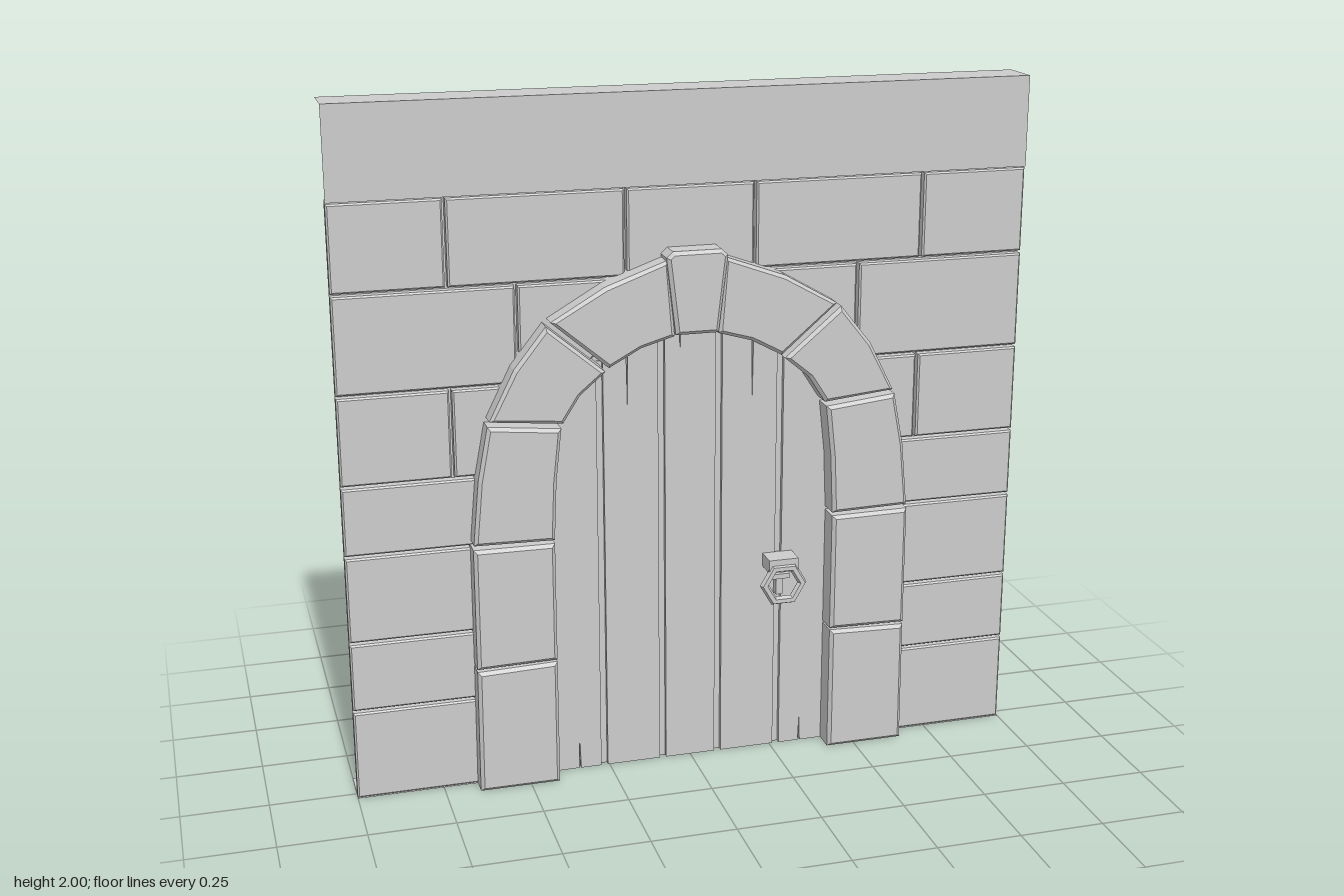
import * as THREE from 'three';

const stone = new THREE.MeshStandardMaterial({ color: 0xcccccc, side: THREE.DoubleSide });
stone.name = 'plain grey';

export function createModel() {
  const model = new THREE.Group();
  model.name = 'stoneDoorway';

  const add = (name, geometry, x = 0, y = 0, z = 0) => {
    const mesh = new THREE.Mesh(geometry, stone);
    mesh.name = name;
    mesh.position.set(x, y, z);
    model.add(mesh);
    return mesh;
  };
  const shapeOf = (pts) => new THREE.Shape(pts.map(([x, y]) => new THREE.Vector2(x, y)));
  const mirror = (pts, s) => pts.map(([x, y]) => [x * s, y]);

  // Chamfered front with straight sides and an open back, from z0 to z1
  const shell = (name, pts, z0, z1, bevel) => {
    const geo = new THREE.ExtrudeGeometry(shapeOf(pts), {
      depth: z1 - z0 - bevel, bevelThickness: bevel, bevelSize: bevel,
      bevelOffset: -bevel, bevelSegments: 1,
    });
    const p = geo.attributes.position;
    const kept = [];
    for (let i = 0; i < p.count; i += 3) {
      if (Math.max(p.getZ(i), p.getZ(i + 1), p.getZ(i + 2)) < 1e-6) continue;
      for (let k = i; k < i + 3; k++) kept.push(p.getX(k), p.getY(k), p.getZ(k));
    }
    const open = new THREE.BufferGeometry();
    open.setAttribute('position', new THREE.Float32BufferAttribute(kept, 3));
    open.computeVertexNormals();
    return add(name, open, 0, 0, z0);
  };
  const plate = (name, x0, x1, y) => {
    const geo = new THREE.PlaneGeometry(x1 - x0, 0.13).rotateX(-Math.PI / 2);
    add(name, geo, (x0 + x1) / 2, y, -0.035);
  };

  // Mortar sheet behind the blocks, with a pointed door opening
  add('mortarSheet', new THREE.ShapeGeometry(shapeOf([
    [-1, 0.24], [-0.5, 0.24], [-0.5, 1.11], [0, 1.39], [0.5, 1.11], [0.5, 0.24],
    [1, 0.24], [1, 1.745], [-1, 1.745],
  ])));

  // Lintel band with its top ledge, and the two floor ledges
  add('lintelBand', new THREE.PlaneGeometry(2, 0.26), 0, 1.87, 0.03);
  plate('topLedge', -1, 1, 2);
  plate('floorLedge', 0.5, 1, 0);
  plate('floorLedge', -1, -0.5, 0);

  // Wall courses: bottom, top, then the x limits of each block on one side
  const g = 0.004;
  const block = (x0, x1, y0, y1) => shell('wallBlock', [
    [x0, y0], [x1, y0], [x1, y1], [x0, y1],
  ], 0, 0.028, 0.005);
  const courses = [
    [0, 0.27, [0.5, 1]],
    [0.27, 0.48, [0.5, 1]],
    [0.48, 0.74, [0.5, 1]],
    [0.74, 0.945, [0.5, 1]],
    [0.945, 1.205, [0.5, 0.687, 1]],
    [1.205, 1.488, [0.497, 1]],
    [1.488, 1.74, [0.187, 0.687, 1]],
  ];
  for (const [y0, y1, xs] of courses) {
    for (let i = 0; i < xs.length - 1; i++) {
      const a = xs[i] + g, b = xs[i + 1] - (xs[i + 1] < 1 ? g : 0);
      const low = y0 ? y0 + g : 0;
      block(a, b, low, y1 - g);
      block(-b, -a, low, y1 - g);
    }
  }
  block(-0.183, 0.183, 1.492, 1.736);
  shell('wallBlockOverArch', [
    [-0.493, 1.21], [-0.36, 1.21], [-0.1, 1.4], [0.1, 1.4], [0.36, 1.21],
    [0.493, 1.21], [0.493, 1.484], [-0.493, 1.484],
  ], 0, 0.028, 0.005);

  // Arch stones, mirrored left and right
  const archStones = [
    [[0.415, 0], [0.65, 0], [0.648, 0.375], [0.415, 0.382]],
    [[0.415, 0.388], [0.648, 0.383], [0.648, 0.747], [0.415, 0.745]],
    [[0.415, 0.755], [0.646, 0.76], [0.628, 0.95], [0.598, 1.105], [0.39, 1.083], [0.407, 0.93]],
    [[0.385, 1.097], [0.592, 1.118], [0.52, 1.262], [0.428, 1.378], [0.262, 1.237], [0.335, 1.175]],
    [[0.252, 1.247], [0.415, 1.388], [0.26, 1.478], [0.082, 1.542], [0.063, 1.325], [0.16, 1.297]],
  ];
  for (const s of [1, -1]) {
    for (const pts of archStones) shell('archStone', mirror(pts, s), 0, 0.09, 0.01);
  }

  // Keystone, standing proud of the arch on both faces
  const key = [[-0.062, 1.33], [0.062, 1.33], [0.088, 1.55], [0.07, 1.567], [-0.07, 1.567], [-0.088, 1.55]];
  shell('keystone', key, -0.01, 0.1, 0.01);
  add('keystoneBack', new THREE.ShapeGeometry(shapeOf(key)), 0, 0, -0.01);

  // Door planks: arched tops, with a few narrow cracks cut into the ends
  const curve = [[0, 1.35], [0.06, 1.345], [0.16, 1.315], [0.255, 1.262], [0.335, 1.19], [0.4, 1.1], [0.425, 0.8]];
  const topAt = (x) => {
    const a = Math.abs(x);
    const i = Math.max(1, curve.findIndex(([cx]) => cx >= a - 1e-9));
    const [x0, y0] = curve[i - 1], [x1, y1] = curve[i];
    return y0 + (y1 - y0) * (a - x0) / (x1 - x0);
  };
  const planks = [ // left, right, crack x, crack tip height, crack from the top
    [-0.425, -0.275, -0.34, 0.1, false],
    [-0.255, -0.095, -0.185, 1.1, true],
    [-0.075, 0.075, -0.03, 1.26, true],
    [0.095, 0.26, 0.185, 1.1, true],
    [0.28, 0.425, 0.345, 0.08, false],
  ];
  for (const [l, r, cx, cy, fromTop] of planks) {
    const w = 0.003;
    const pts = [[l, 0]];
    if (!fromTop) pts.push([cx - w, 0], [cx, cy], [cx + w, 0]);
    pts.push([r, 0]);
    const tops = [l, r];
    for (const [x] of curve) for (const v of [x, -x]) if (v > l && v < r && !tops.includes(v)) tops.push(v);
    const top = tops.map((x) => [x, topAt(x)]);
    if (fromTop) top.push([cx - w, topAt(cx - w)], [cx, cy], [cx + w, topAt(cx + w)]);
    top.sort((a, b) => b[0] - a[0]);
    pts.push(...top);
    add('doorPlank', new THREE.ExtrudeGeometry(shapeOf(pts), { depth: 0.018, bevelEnabled: false }));
  }

  // Recessed strips closing the joints between planks
  for (const x of [-0.265, -0.085, 0.085, 0.27]) {
    const h = topAt(x) - 0.005;
    add('plankJoint', new THREE.BoxGeometry(0.022, h, 0.008), x, h / 2, 0);
  }

  // Door knocker: bracket, six-sided ring, striker and plate on the inside
  add('knockerBracket', new THREE.BoxGeometry(0.09, 0.04, 0.07), 0.267, 0.605, 0.05);
  add('knockerRing', new THREE.TorusGeometry(0.058, 0.014, 6, 6).toNonIndexed(), 0.267, 0.547, 0.08)
    .geometry.computeVertexNormals();
  add('knockerStriker', new THREE.BoxGeometry(0.02, 0.06, 0.03), 0.267, 0.53, 0.03);
  add('knockerCrossbar', new THREE.BoxGeometry(0.06, 0.015, 0.03), 0.267, 0.558, 0.035);
  add('innerPlate', new THREE.CylinderGeometry(0.055, 0.055, 0.012, 8).rotateX(Math.PI / 2), 0.267, 0.56, -0.003)
    .scale.y = 0.8;

  return model;
}
